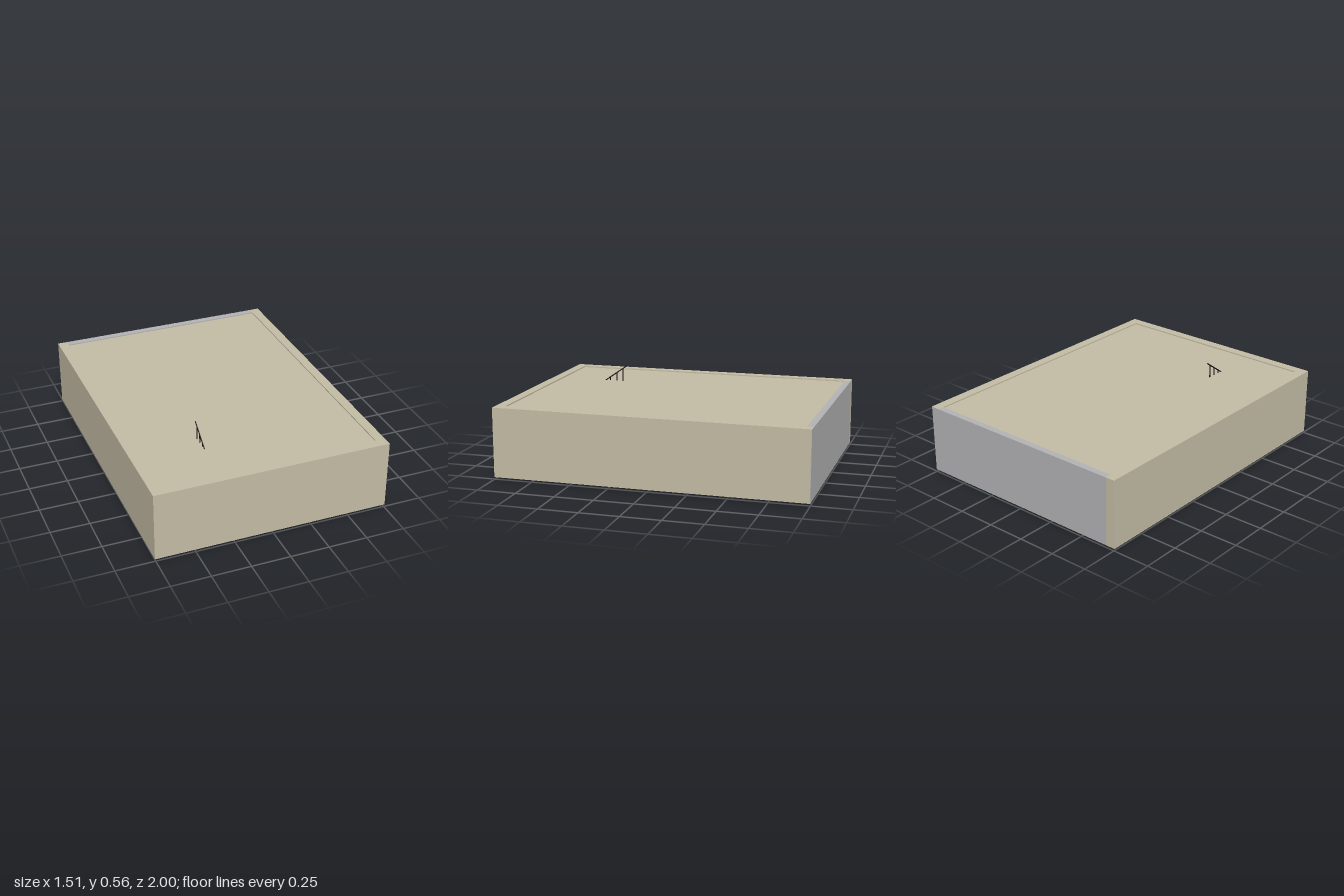
import * as THREE from 'three';

const mat = (color, side = THREE.FrontSide) => new THREE.MeshStandardMaterial({ color, side });
const WALL = 0xc2bba4;
const M = {
  shell: mat(WALL, THREE.DoubleSide),
  wall: mat(WALL),
  grey: mat(0xb2b2b4),
  floor: mat(0x6e5a46),
  rug: mat(0xa0523a),
  black: mat(0x0c0a09),
  sand: mat(0xae9470),
  wood: mat(0xb06c3a),
  darkWood: mat(0x7a4030),
  door: mat(0xc9a468),
};

export function createModel() {
  const root = new THREE.Group();
  const add = (name, geometry, material, parent = root) => {
    const mesh = new THREE.Mesh(geometry, material);
    mesh.name = name;
    parent.add(mesh);
    return mesh;
  };
  // Box given by its lower and upper limits
  const box = (name, [x0, y0, z0], [x1, y1, z1], material, parent) => {
    const mesh = add(name, new THREE.BoxGeometry(x1 - x0, y1 - y0, z1 - z0), material, parent);
    mesh.position.set((x0 + x1) / 2, (y0 + y1) / 2, (z0 + z1) / 2);
    return mesh;
  };
  // Upright sheet facing the given turn about y
  const sheet = (name, width, x, z, turn, material) => {
    const mesh = add(name, new THREE.PlaneGeometry(width, TOP - BASE), material);
    mesh.position.set(x, (TOP + BASE) / 2, z);
    mesh.rotation.y = turn;
  };

  const BASE = 0.014, TOP = 0.46, W = 0.755, D = 1, T = 0.062;
  const IW = W - T, ID = D - T;

  // Hollow walls: outer sheets, inner sheets facing the room, top rim
  sheet('frontWall', 2 * W, 0, D, 0, M.shell);
  sheet('innerFrontWall', 2 * IW, 0, ID, Math.PI, M.wall);
  for (const s of [-1, 1]) {
    sheet('sideWall', 2 * D - 0.004, s * W, 0.002, s * Math.PI / 2, M.shell);
    sheet('innerSideWall', 2 * ID, s * IW, 0, -s * Math.PI / 2, M.wall);
  }
  const rim = new THREE.Shape([[-W, -D], [W, -D], [W, D], [-W, D]].map(p => new THREE.Vector2(...p)));
  const hole = [[-IW, D - 0.04], [-IW, -ID], [IW, -ID], [IW, D - 0.04]];
  hole[0][1] = hole[3][1] = D - 0.001;
  rim.holes.push(new THREE.Path(hole.map(p => new THREE.Vector2(...p))));
  const rimMesh = add('wallTopRim', new THREE.ShapeGeometry(rim), M.shell);
  rimMesh.rotation.x = -Math.PI / 2;
  rimMesh.position.y = TOP;

  // Grey back wall with a tan end post
  box('backWall', [-IW, BASE, -D], [W - 0.002, TOP - 0.001, -D + 0.042], M.grey);
  box('backWallPost', [-W, BASE, -D], [-IW, TOP - 0.001, -D + 0.06], M.wall);

  // Ceiling sunk just below the rim, and floor
  box('ceiling', [-IW, TOP - 0.02, -D + 0.042], [IW, TOP - 0.008, ID], M.wall);
  box('floor', [-IW, BASE + 0.001, -D + 0.001], [IW, BASE + 0.012, ID], M.floor);

  // Rugs: border, dark band and centre, visible on both faces
  const rug = (x0, x1, z0, z1) => {
    const group = new THREE.Group();
    group.name = 'rug';
    root.add(group);
    [['rugBorder', 0, M.rug], ['rugBand', 0.05, M.black], ['rugCentre', 0.065, M.sand]].forEach(([name, inset, m], i) => {
      const e = i * 0.0012;
      box(name, [x0 + inset, BASE - 0.0005 - e, z0 + inset], [x1 - inset, BASE + 0.014 + e, z1 - inset], m, group);
    });
  };
  rug(-0.19, 0.325, -0.92, -0.37);
  rug(-0.56, 0.36, -0.19, 0.15);

  // Counter with a bulging front
  const plan = new THREE.Shape();
  plan.moveTo(-0.68, -0.8);
  plan.lineTo(-0.55, -0.8);
  plan.lineTo(-0.55, -0.74);
  plan.quadraticCurveTo(-0.41, -0.535, -0.55, -0.33);
  plan.lineTo(-0.55, -0.27);
  plan.lineTo(-0.68, -0.27);
  plan.closePath();
  const slab = (name, y, height, material) => {
    const g = new THREE.ExtrudeGeometry(plan, { depth: height, bevelEnabled: false, curveSegments: 10 });
    g.rotateX(Math.PI / 2);
    add(name, g, material).position.y = y + height;
  };
  slab('counterBase', 0, 0.16, M.wood);
  slab('counterTop', 0.16, 0.012, M.darkWood);

  // Door set in the wall thickness
  box('doorFrame', [-W + 0.004, BASE, -0.09], [-IW + 0.004, 0.3, 0.1], M.door);
  box('doorPanel', [-IW + 0.004, BASE + 0.012, -0.07], [-IW + 0.01, 0.285, 0.08], M.darkWood);

  // Staircase rising towards the back
  const stairs = new THREE.Group();
  stairs.name = 'staircase';
  root.add(stairs);
  const steps = 10, run = 0.42 / steps;
  for (let i = 0; i < steps; i++) {
    const z = 0.936 - i * run;
    box('step', [-0.25, 0.008, z - run], [0.15, 0.03 * (i + 1), z], M.floor, stairs);
  }

  // Handrail and balusters, passing up through the ceiling
  const railY = z => 0.46 + (0.62 - z) * 0.7;
  const railLength = Math.hypot(0.45, 0.45 * 0.7);
  const rail = add('handrail', new THREE.BoxGeometry(0.005, 0.007, railLength), M.black, stairs);
  rail.position.set(-0.3, railY(0.703), 0.703);
  rail.rotation.x = Math.atan(0.7);
  for (let i = 0; i < 10; i++) {
    const z = 0.508 + i * 0.046;
    box('baluster', [-0.3025, BASE + 0.012, z - 0.003], [-0.2975, railY(z), z + 0.003], M.black, stairs);
  }

  // Small stool by the side wall
  for (const x of [0.6, 0.67]) for (const z of [-0.11, -0.04])
    box('stoolLeg', [x - 0.004, 0.008, z - 0.004], [x + 0.004, 0.1, z + 0.004], M.darkWood);
  box('stoolSeat', [0.59, 0.1, -0.12], [0.68, 0.11, -0.03], M.darkWood);

  return root;
}
